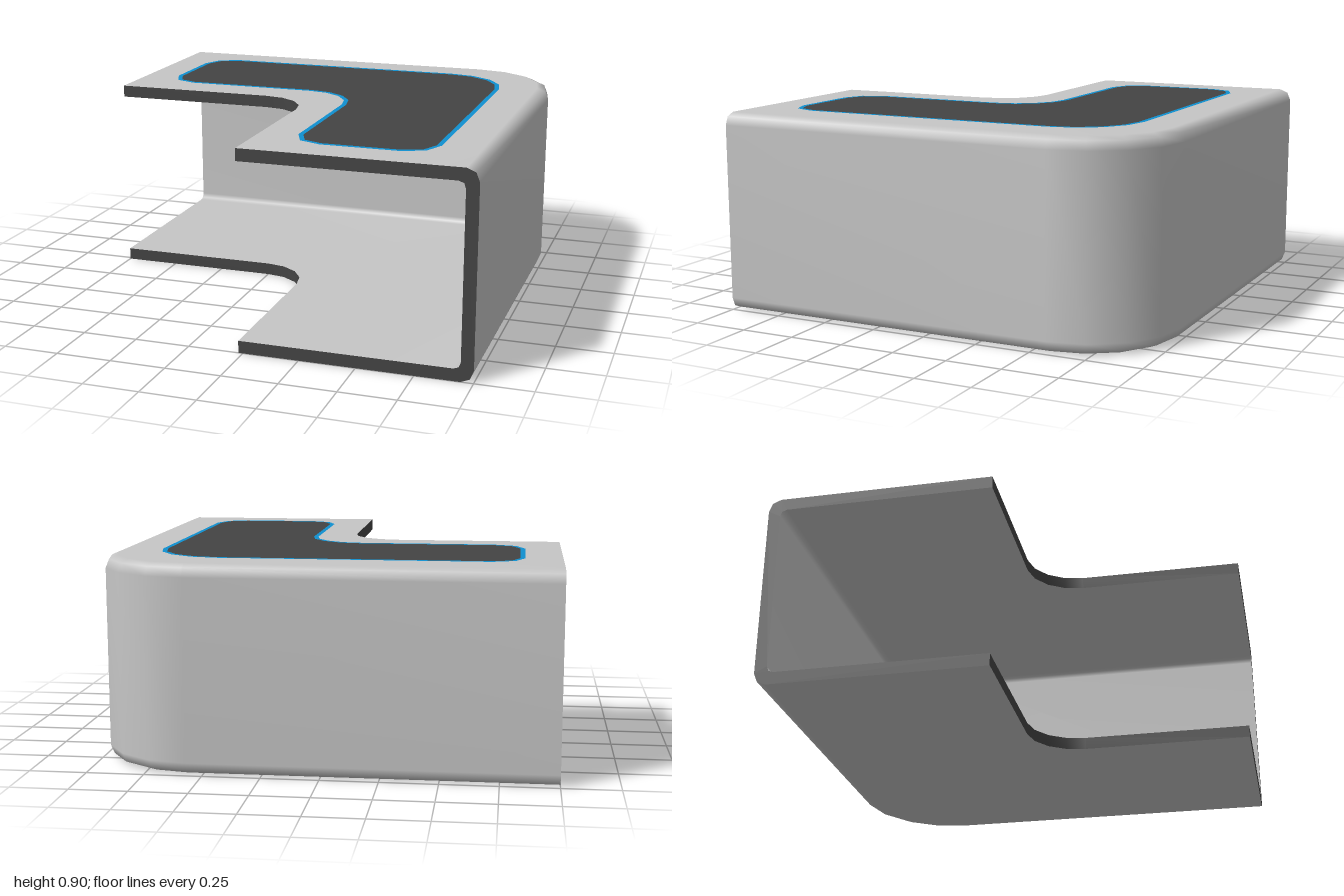
import * as THREE from 'three';

const shellMat = new THREE.MeshStandardMaterial({ name: 'light grey', color: 0xc6c6c6 });
const darkMat = new THREE.MeshStandardMaterial({ name: 'dark grey', color: 0x444444 });
const blueMat = new THREE.MeshStandardMaterial({ name: 'blue', color: 0x0f90d0 });

// Smooth surface through rows of points
function grid(rows) {
  const n = rows[0].length, index = [];
  for (let j = 0; j < rows.length - 1; j++) {
    for (let i = 0; i < n - 1; i++) {
      const a = j * n + i, b = a + 1, d = a + n, c = d + 1;
      index.push(a, b, c, a, c, d);
    }
  }
  const geo = new THREE.BufferGeometry();
  geo.setAttribute('position', new THREE.Float32BufferAttribute(rows.flat(2), 3));
  geo.setIndex(index);
  geo.computeVertexNormals();
  return geo;
}

// Stations along the L: outer wall point, outward normal and opening edge point
function stations() {
  const list = [{ o: [-1, -1], n: [0, -1], e: [-1, 0.015] }];
  for (let k = 0; k <= 4; k++) {
    const a = (k / 4) * Math.PI / 2, n = [Math.sin(a), -Math.cos(a)];
    list.push({
      o: [0.57 + 0.43 * n[0], -0.57 + 0.43 * n[1]],
      n,
      e: [-0.25 + 0.23 * n[0], 0.245 + 0.23 * n[1]],
    });
  }
  list.push({ o: [1, 1], n: [1, 0], e: [-0.02, 1] });
  return list;
}

// Half sections as [depth behind the outer wall, y]; null depth is the opening edge
const H = 0.9;
const mirrorUp = (half) => [...half, ...half.map(([d, y]) => [d, H - y]).reverse()];
const outerSection = mirrorUp([[null, 0], [0.055, 0], [0.016, 0.016], [0, 0.055]]);
const innerSection = mirrorUp([[null, 0.055], [0.085, 0.055], [0.063, 0.063], [0.055, 0.085]]);

const place = (section, s) => section.map(([d, y]) => d === null
  ? [s.e[0], y, s.e[1]]
  : [s.o[0] - s.n[0] * d, y, s.o[1] - s.n[1] * d]);

// Outline of the L-shaped top panel, as arcs [x, z, radius, start, end, steps] in degrees
function panelOutline(inset) {
  const arcs = [
    [-0.70, -0.64, 0.14, 180, 270, 2],
    [0.465, -0.47, 0.31, 270, 360, 4],
    [0.635, 0.70, 0.14, 0, 90, 2],
    [0.29, 0.70, 0.14, 90, 180, 2],
    [-0.09, 0.09, -0.24, 360, 270, 4],
    [-0.70, -0.29, 0.14, 90, 180, 2],
  ];
  const pts = [];
  for (const [x, z, r, a0, a1, n] of arcs) {
    const rad = Math.abs(r - inset);
    for (let k = 0; k <= n; k++) {
      const a = THREE.MathUtils.degToRad(a0 + (a1 - a0) * k / n);
      pts.push(new THREE.Vector2(x + rad * Math.cos(a), -(z + rad * Math.sin(a))));
    }
  }
  return pts;
}

export function createModel() {
  const model = new THREE.Group();
  model.name = 'cornerCover';
  const add = (name, geo, mat) => {
    const mesh = new THREE.Mesh(geo, mat);
    mesh.name = name;
    model.add(mesh);
    return mesh;
  };

  const path = stations();
  const outer = path.map((s) => place(outerSection, s));
  const inner = path.map((s) => place(innerSection, s));
  const last = outerSection.length - 1, end = path.length - 1;

  // C-shaped shell
  add('outerShell', grid(outer), shellMat);
  add('innerShell', grid(inner.map((row) => [...row].reverse())), shellMat);

  // Dark cut edges along the opening and at both ends
  add('topEdge', grid(path.map((_, j) => [outer[j][last], inner[j][last]])), darkMat);
  add('bottomEdge', grid(path.map((_, j) => [inner[j][0], outer[j][0]])), darkMat);
  add('sideEnd', grid([inner[0], outer[0]]), darkMat);
  add('frontEnd', grid([outer[end], inner[end]]), darkMat);

  // Top panel with its blue border
  const border = new THREE.Shape(panelOutline(0));
  border.holes.push(new THREE.Path(panelOutline(0.022)));
  const flat = (shape) => new THREE.ShapeGeometry(shape).rotateX(-Math.PI / 2).translate(0, H + 0.002, 0);
  add('panelBorder', flat(border), blueMat);
  add('topPanel', flat(new THREE.Shape(panelOutline(0.022))), darkMat);

  return model;
}
